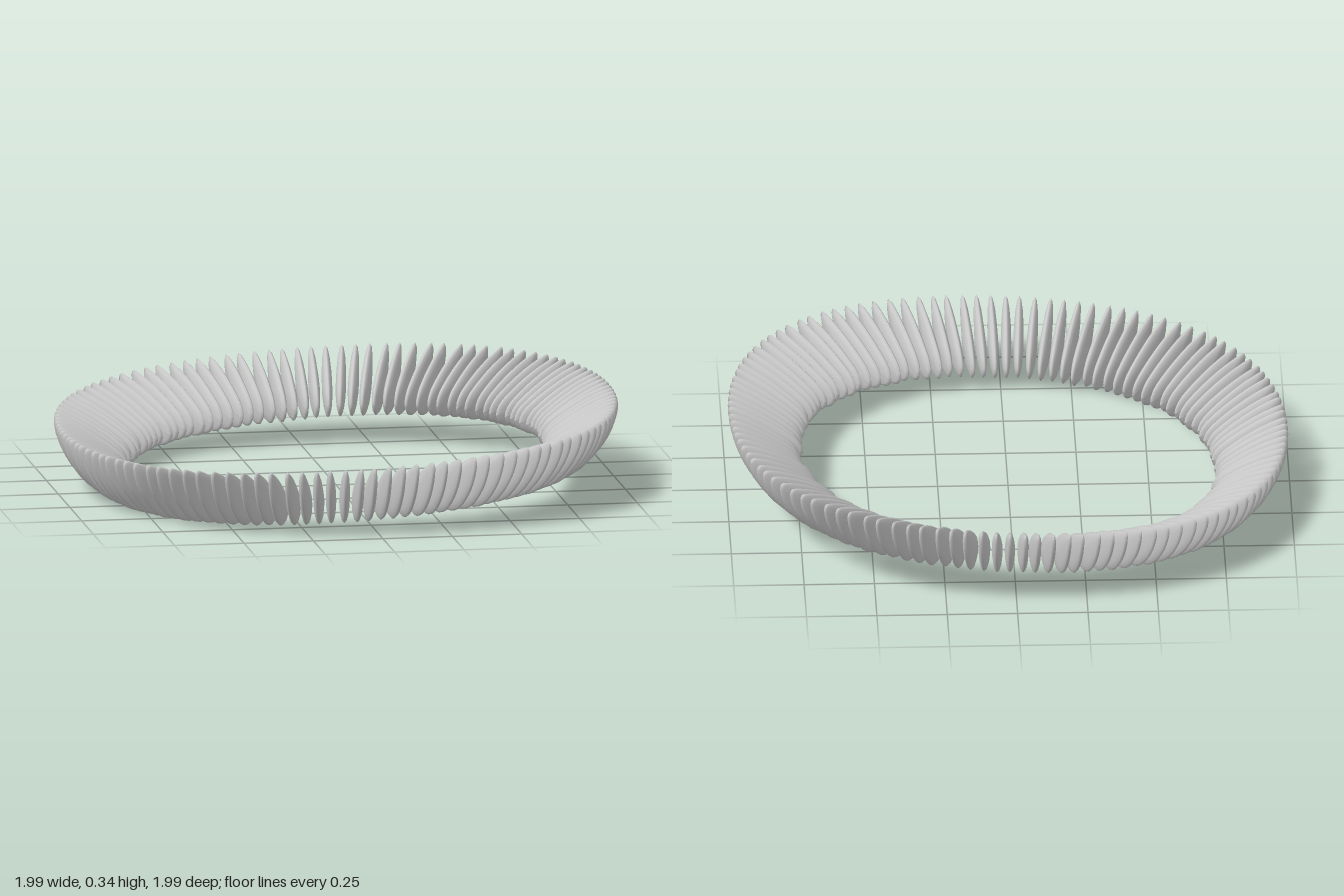
import * as THREE from 'three';

// Closed side outline of one blade: x runs outward from the inner end, y runs up.
const outline = new THREE.CatmullRomCurve3(
  [
    [0.262, 0.205], [0.254, 0.224], [0.225, 0.217], [0.155, 0.185], [0.07, 0.132],
    [0.015, 0.085], [0.0, 0.045], [0.02, 0.012], [0.075, 0.0], [0.14, 0.018],
    [0.2, 0.072], [0.243, 0.14],
  ].map(([x, y]) => new THREE.Vector3(x, y, 0)), true, 'centripetal');

// A sphere remapped to a thin lens with that outline.
function bladeGeometry(thickness) {
  const geo = new THREE.SphereGeometry(1, 28, 8);
  const pos = geo.attributes.position;
  const centre = new THREE.Vector3(0.13, 0.1, 0);
  const p = new THREE.Vector3();
  for (let i = 0; i < pos.count; i++) {
    const x = pos.getX(i), y = pos.getY(i), z = pos.getZ(i);
    const turn = Math.atan2(-z, x) / (2 * Math.PI);
    outline.getPoint((turn + 1) % 1, p);
    p.lerp(centre, 1 - Math.min(1, Math.hypot(x, z)));
    pos.setXYZ(i, p.x, p.y, y * thickness / 2);
  }
  geo.computeVertexNormals();
  return geo;
}

// Small seeded noise in the range -1 to 1
function seeded(seed) {
  return () => {
    seed = (seed * 16807) % 2147483647;
    return (seed / 2147483647) * 2 - 1;
  };
}

export function createModel() {
  const model = new THREE.Group();
  model.name = 'bladeRing';
  const material = new THREE.MeshStandardMaterial({ color: 0xcccccc });
  const geo = bladeGeometry(0.037);
  const noise = seeded(41);
  const count = 118;

  for (let i = 0; i < count; i++) {
    const a = (i / count) * Math.PI * 2;
    const dx = Math.cos(a), dz = -Math.sin(a);
    // The ring is slightly squared off at the diagonals
    const bulge = 0.045 * Math.sin(2 * a) ** 2;
    const inner = 0.735 + bulge * 0.4 + noise() * 0.008;
    const outer = 0.995 + bulge;

    const blade = new THREE.Mesh(geo, material);
    blade.name = 'blade';
    // The ring tilts up towards the left and the back
    blade.position.set(dx * inner, 0.06 + 0.05 * dx - 0.025 * dz, dz * inner);
    blade.rotation.y = a + noise() * 0.02;
    blade.scale.x = (outer - inner) / 0.262;
    model.add(blade);
  }
  return model;
}
